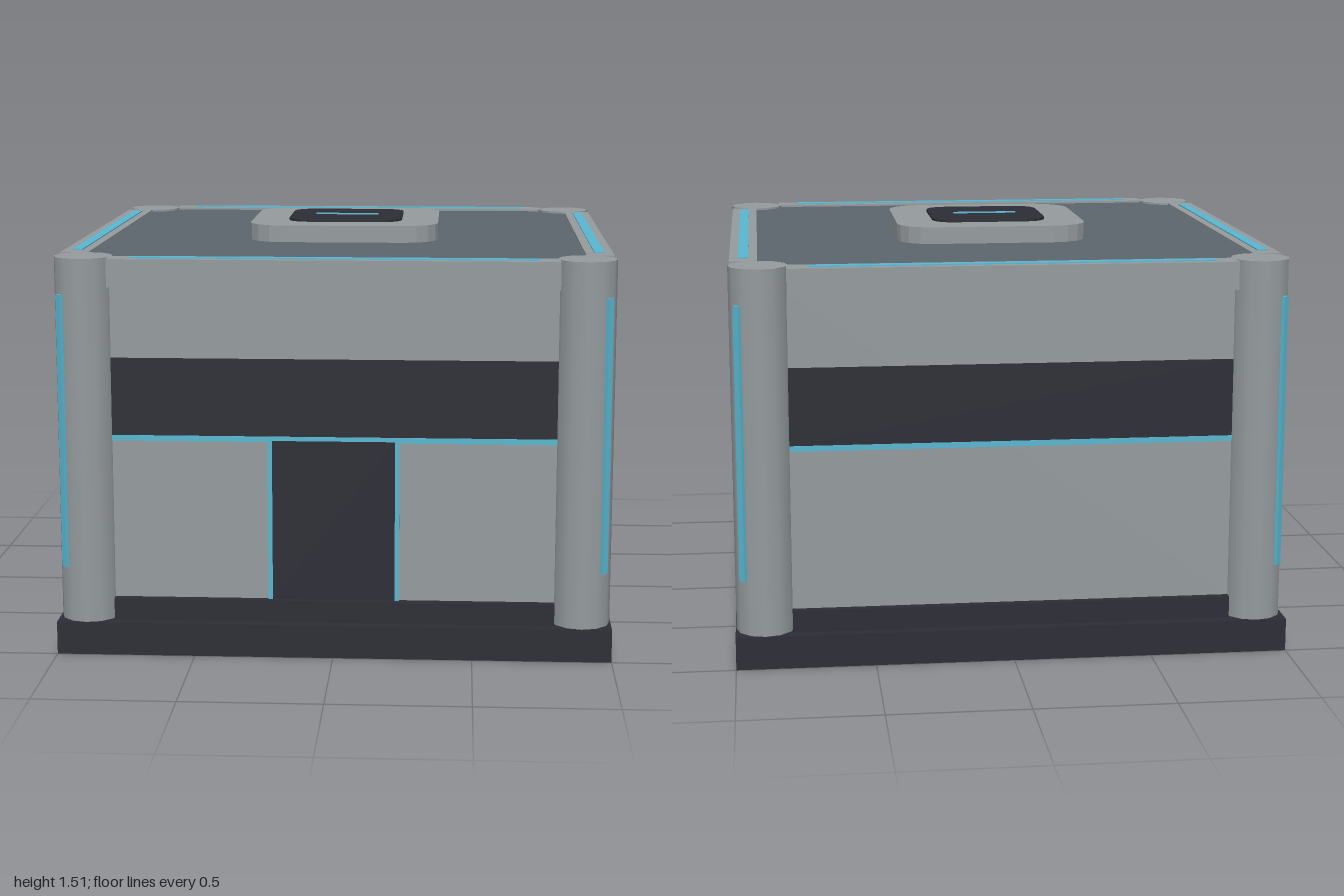
import * as THREE from 'three';

const material = (name, color) => {
  const m = new THREE.MeshStandardMaterial({ color });
  m.name = name;
  return m;
};

export function createModel() {
  const lightGrey = material('lightGrey', 0x949a9d);
  const roofGrey = material('roofGrey', 0x5d656d);
  const charcoal = material('charcoal', 0x2d2d36);
  const cyan = material('cyan', 0x58b6d0);
  const model = new THREE.Group();
  model.name = 'building';

  const add = (parent, name, geometry, mat, x = 0, y = 0, z = 0) => {
    const mesh = new THREE.Mesh(geometry, mat);
    mesh.name = name;
    mesh.position.set(x, y, z);
    parent.add(mesh);
    return mesh;
  };
  // Box given by its centre in x and z and its bottom and top heights
  const box = (parent, name, mat, w, y0, y1, d, x = 0, z = 0) =>
    add(parent, name, new THREE.BoxGeometry(w, y1 - y0, d), mat, x, (y0 + y1) / 2, z);

  // Upright prism from a flat outline
  const prism = (name, mat, shape, y0, y1, curveSegments = 2) => {
    const g = new THREE.ExtrudeGeometry(shape, { depth: y1 - y0, bevelEnabled: false, curveSegments });
    g.rotateX(-Math.PI / 2);
    return add(model, name, g, mat, 0, y0, 0);
  };
  // Square with its corners notched out for the columns
  const plus = (a, r) => new THREE.Shape([
    [r, -a], [r, a], [a, a], [a, r], [-a, r], [-a, a],
    [-r, a], [-r, -a], [-a, -a], [-a, -r], [a, -r], [a, -a],
  ].map(([x, y]) => new THREE.Vector2(x, y)));
  // Square with rounded corners
  const roundedSquare = (h, r) => {
    const s = new THREE.Shape();
    const c = h - r;
    s.absarc(c, c, r, 0, Math.PI / 2);
    s.absarc(-c, c, r, Math.PI / 2, Math.PI);
    s.absarc(-c, -c, r, Math.PI, Math.PI * 1.5);
    s.absarc(c, -c, r, Math.PI * 1.5, Math.PI * 2);
    return s;
  };

  // Foundation, step and main walls
  box(model, 'foundation', charcoal, 2, 0, 0.12, 2);
  prism('step', charcoal, plus(0.795, 0.96), 0.12, 0.2);
  prism('walls', lightGrey, plus(0.795, 0.93), 0.2, 1.35);
  box(model, 'roofPanel', roofGrey, 1.79, 1.345, 1.432, 1.79);

  // Each side: window band, light line, roof rim
  for (let i = 0; i < 4; i++) {
    const side = new THREE.Group();
    side.name = 'side' + (i + 1);
    side.rotation.y = i * Math.PI / 2;
    model.add(side);
    box(side, 'windowBand', charcoal, 1.59, 0.8, 1.08, 0.008, 0, 0.93);
    box(side, 'lightLine', cyan, 1.59, 0.78, 0.8, 0.009, 0, 0.932);
    box(side, 'roofRim', lightGrey, 1.59, 1.34, 1.44, 0.1, 0, 0.943);
    box(side, 'rimLight', cyan, 1.44, 1.437, 1.444, 0.036, 0, 0.943);

    // Corner column with its vertical light on the outer diagonal
    const corner = new THREE.Group();
    corner.name = 'corner';
    corner.position.set(0.892, 0, 0.892);
    corner.rotation.y = Math.PI / 4;
    side.add(corner);
    add(corner, 'column', new THREE.CylinderGeometry(0.105, 0.105, 1.32, 12, 1, false, 0), lightGrey, 0, 0.78, 0)
      .rotation.y = Math.PI / 12;
    box(corner, 'columnLight', cyan, 0.026, 0.32, 1.31, 0.02, 0, 0.104);
  }

  // Front door with lit frame
  box(model, 'door', charcoal, 0.44, 0.2, 0.785, 0.009, 0, 0.934);
  for (const s of [-1, 1]) box(model, 'doorFrameSide', cyan, 0.016, 0.2, 0.8, 0.009, s * 0.228, 0.935);
  box(model, 'doorFrameTop', cyan, 0.472, 0.785, 0.8, 0.009, 0, 0.935);

  // Roof hatch
  prism('hatchBase', lightGrey, roundedSquare(0.36, 0.13), 1.42, 1.495);
  prism('hatchLid', charcoal, roundedSquare(0.218, 0.08), 1.49, 1.504);
  box(model, 'hatchLight', cyan, 0.245, 1.502, 1.508, 0.02);

  return model;
}
